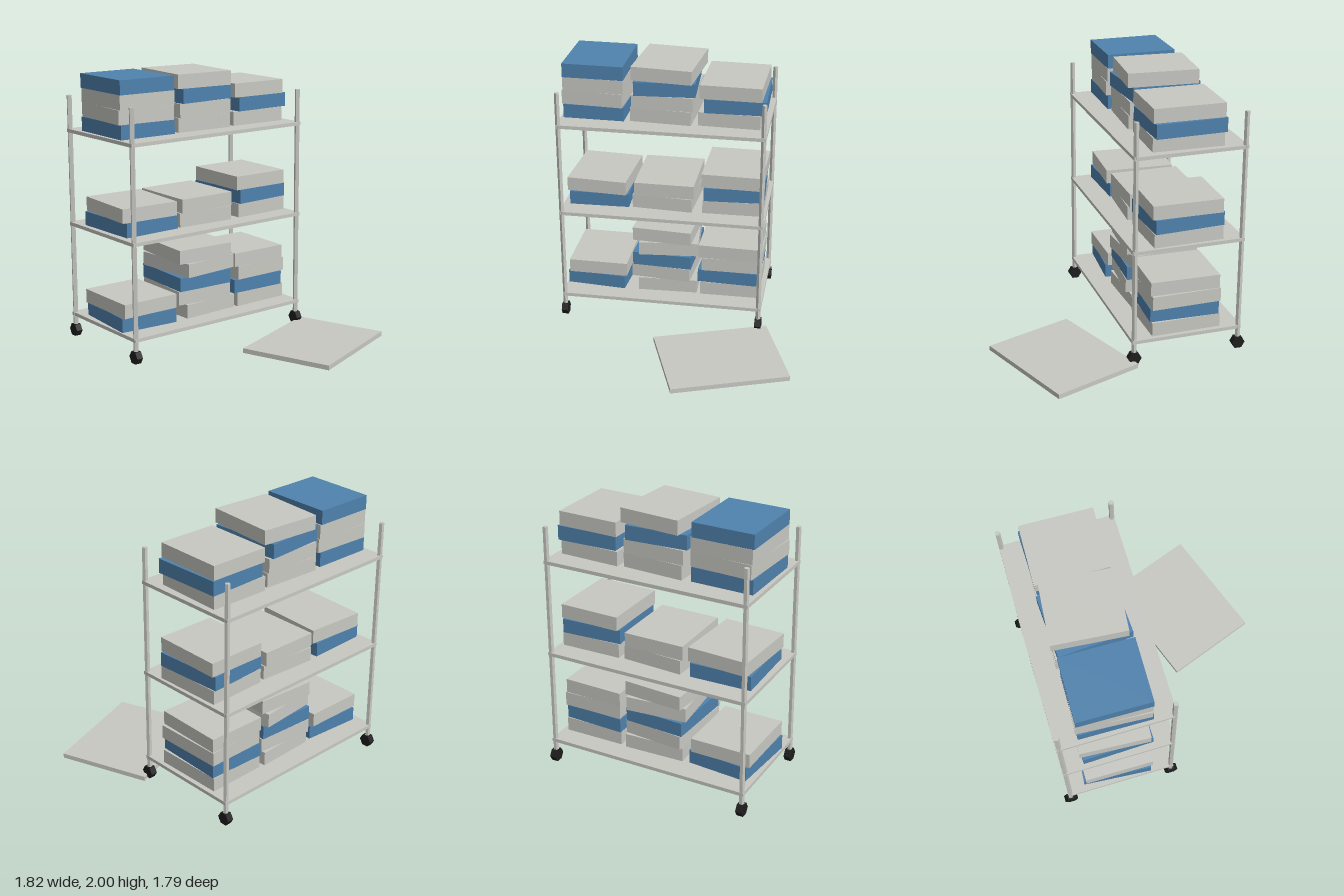
import * as THREE from 'three';

const grey = new THREE.MeshStandardMaterial({ color: 0xc8c8c3 });
grey.name = 'light grey';
const blue = new THREE.MeshStandardMaterial({ color: 0x4f82ad });
blue.name = 'blue';
const black = new THREE.MeshStandardMaterial({ color: 0x1e1e1e });
black.name = 'black rubber';

const rad = THREE.MathUtils.degToRad;

// Faceted cylinder with flat normals
function facetedCylinder(radius, height, sides) {
  const g = new THREE.CylinderGeometry(radius, radius, height, sides).toNonIndexed();
  g.computeVertexNormals();
  return g;
}

function addMesh(parent, name, geometry, material, x, y, z) {
  const mesh = new THREE.Mesh(geometry, material);
  mesh.name = name;
  mesh.position.set(x, y, z);
  parent.add(mesh);
  return mesh;
}

// Rack dimensions
const BACK = -0.847, FRONT = -0.047, RIGHT = -0.887, LEFT = 0.607;
const MID_X = (RIGHT + LEFT) / 2, MID_Z = (BACK + FRONT) / 2;
const POST_TOP = 1.83, WHEEL_R = 0.05, WHEEL_Y = 0.055;
const SHELF_T = 0.026, BOX_W = 0.45, BOX_H = 0.1037, BOX_D = 0.52;

// Each shelf: top height, then three stacks listed from the bottom up.
// Each box: colour, centre x, turn in degrees.
const shelves = [
  { top: 0.193, stacks: [
    [[blue, -0.649, -4.5], [grey, -0.652, -0.5]],
    [[grey, -0.12, 2], [grey, -0.144, -5], [blue, -0.143, -3], [grey, -0.126, 5], [grey, -0.139, -4]],
    [[grey, 0.365, 0.5], [blue, 0.355, -2], [grey, 0.373, 0.5], [grey, 0.358, -1.5]],
  ] },
  { top: 0.888, stacks: [
    [[blue, -0.636, 1.5], [grey, -0.634, -3.5]],
    [[grey, -0.137, -3.5], [grey, -0.136, -0.5]],
    [[grey, 0.373, 1], [blue, 0.374, 3], [grey, 0.372, -1]],
  ] },
  { top: 1.585, stacks: [
    [[blue, -0.65, -1], [grey, -0.65, -3.5], [grey, -0.648, -2], [blue, -0.652, -1]],
    [[grey, -0.147, -3], [grey, -0.145, -1], [blue, -0.147, 3.4], [grey, -0.132, -4.9]],
    [[grey, 0.348, -2], [blue, 0.378, 1], [grey, 0.356, -1.5]],
  ] },
];

export function createModel() {
  const model = new THREE.Group();
  model.name = 'shelfTrolley';

  // Posts and wheels at the four corners
  const postGeo = facetedCylinder(0.019, POST_TOP - WHEEL_Y, 5);
  const wheelGeo = facetedCylinder(WHEEL_R, 0.048, 6).rotateZ(Math.PI / 2);
  for (const x of [RIGHT, LEFT]) {
    for (const z of [BACK, FRONT]) {
      addMesh(model, 'post', postGeo, grey, x, (POST_TOP + WHEEL_Y) / 2, z);
      addMesh(model, 'wheel', wheelGeo, black, x, WHEEL_Y, z);
    }
  }

  // Shelves with their stacks of boxes
  const shelfGeo = new THREE.BoxGeometry(LEFT - RIGHT + 0.034, SHELF_T, FRONT - BACK + 0.034);
  const boxGeo = new THREE.BoxGeometry(BOX_W, BOX_H, BOX_D);
  for (const { top, stacks } of shelves) {
    addMesh(model, 'shelf', shelfGeo, grey, MID_X, top - SHELF_T / 2, MID_Z);
    for (const stack of stacks) {
      const pile = new THREE.Group();
      pile.name = 'boxStack';
      model.add(pile);
      stack.forEach(([material, x, turn], i) => {
        const box = addMesh(pile, 'storageBox', boxGeo, material, x, top + BOX_H * (i + 0.5), MID_Z);
        box.rotation.y = rad(turn);
      });
    }
  }

  // Loose board lying on the floor
  const board = addMesh(model, 'floorBoard', new THREE.BoxGeometry(0.868, 0.035, 0.697), grey, 0.381, 0.0175, 0.418);
  board.rotation.y = rad(20);

  return model;
}
